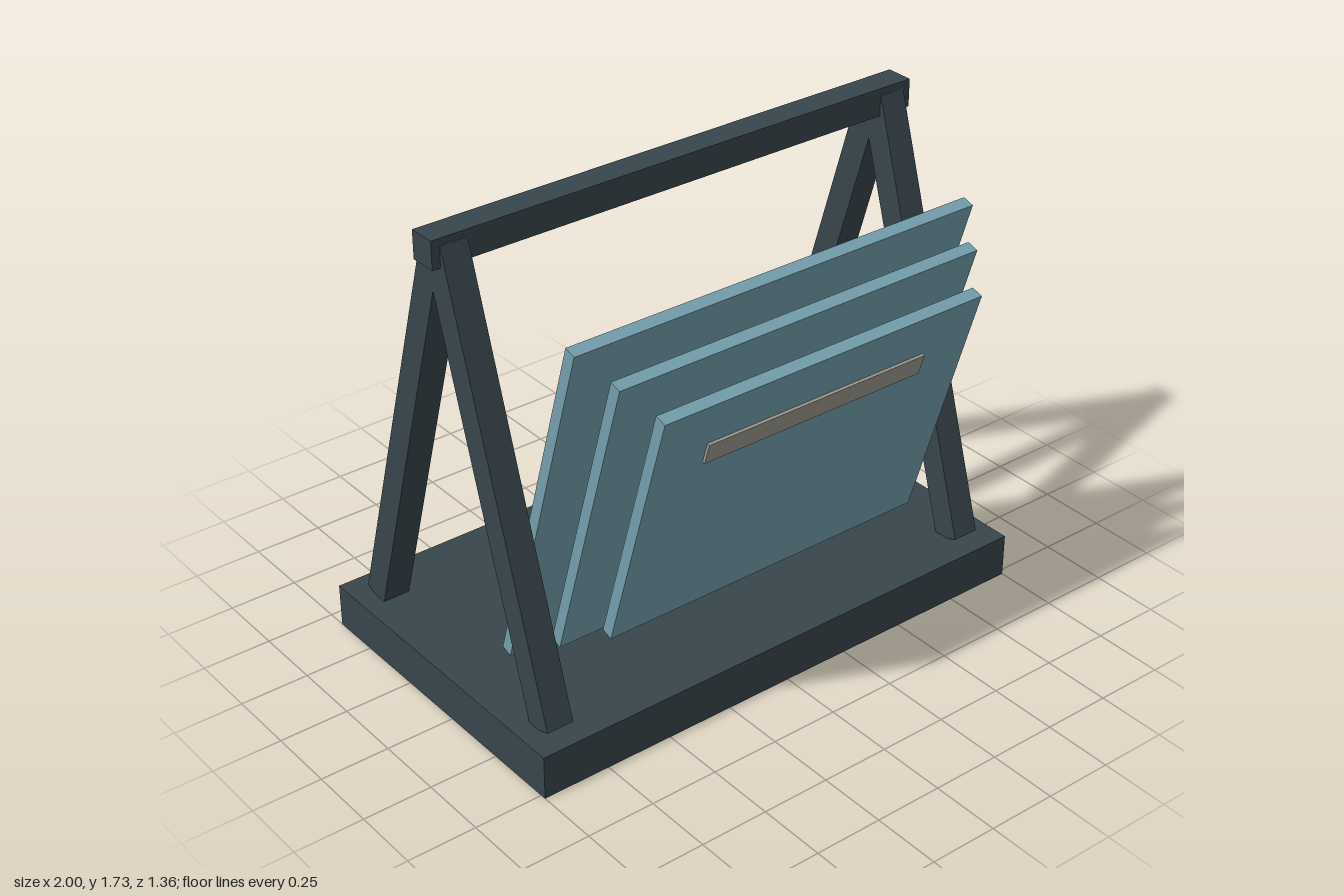
import * as THREE from 'three';

export function createModel() {
  const model = new THREE.Group();
  model.name = 'panelRack';

  const material = (name, color) => {
    const m = new THREE.MeshStandardMaterial({ color });
    m.name = name;
    return m;
  };
  const frame = material('darkSlate', 0x38454c);
  const blue = material('dustyBlue', 0x739eac);
  const grey = material('warmGrey', 0x9b978f);

  const box = (parent, name, mat, size, position, tilt = 0) => {
    const mesh = new THREE.Mesh(new THREE.BoxGeometry(...size), mat);
    mesh.name = name;
    mesh.position.set(...position);
    mesh.rotation.x = tilt;
    parent.add(mesh);
    return mesh;
  };

  const TILT = 0.3;
  const MID_Z = -0.08; // centre line of the frame

  // Base slab and top beam
  box(model, 'base', frame, [2, 0.16, 1.2], [0, 0.08, MID_Z]);
  box(model, 'topBeam', frame, [1.92, 0.1, 0.1], [0, 1.68, MID_Z]);

  // Two A-shaped pairs of legs
  for (const side of [1, -1]) {
    for (const dir of [1, -1]) {
      box(model, (side > 0 ? 'left' : 'right') + (dir > 0 ? 'FrontLeg' : 'BackLeg'), frame,
        [0.1, 1.6, 0.1], [side * 0.88, 0.925, MID_Z + dir * 0.24], -dir * TILT);
    }
  }

  // Leaning panels, each smaller than the one behind, with a handle strip
  for (let i = 0; i < 3; i++) {
    const panel = new THREE.Group();
    panel.name = 'panel' + (i + 1);
    panel.position.set(0, 0.853, 0.237 + i * 0.14);
    panel.rotation.x = TILT;
    box(panel, 'board', blue, [1.6 - i * 0.16, 1.36 - i * 0.195, 0.044], [0, 0, 0]);
    box(panel, 'handleStrip', grey, [0.88, 0.08, 0.02], [0, 0.276, 0.022]);
    model.add(panel);
  }

  return model;
}
